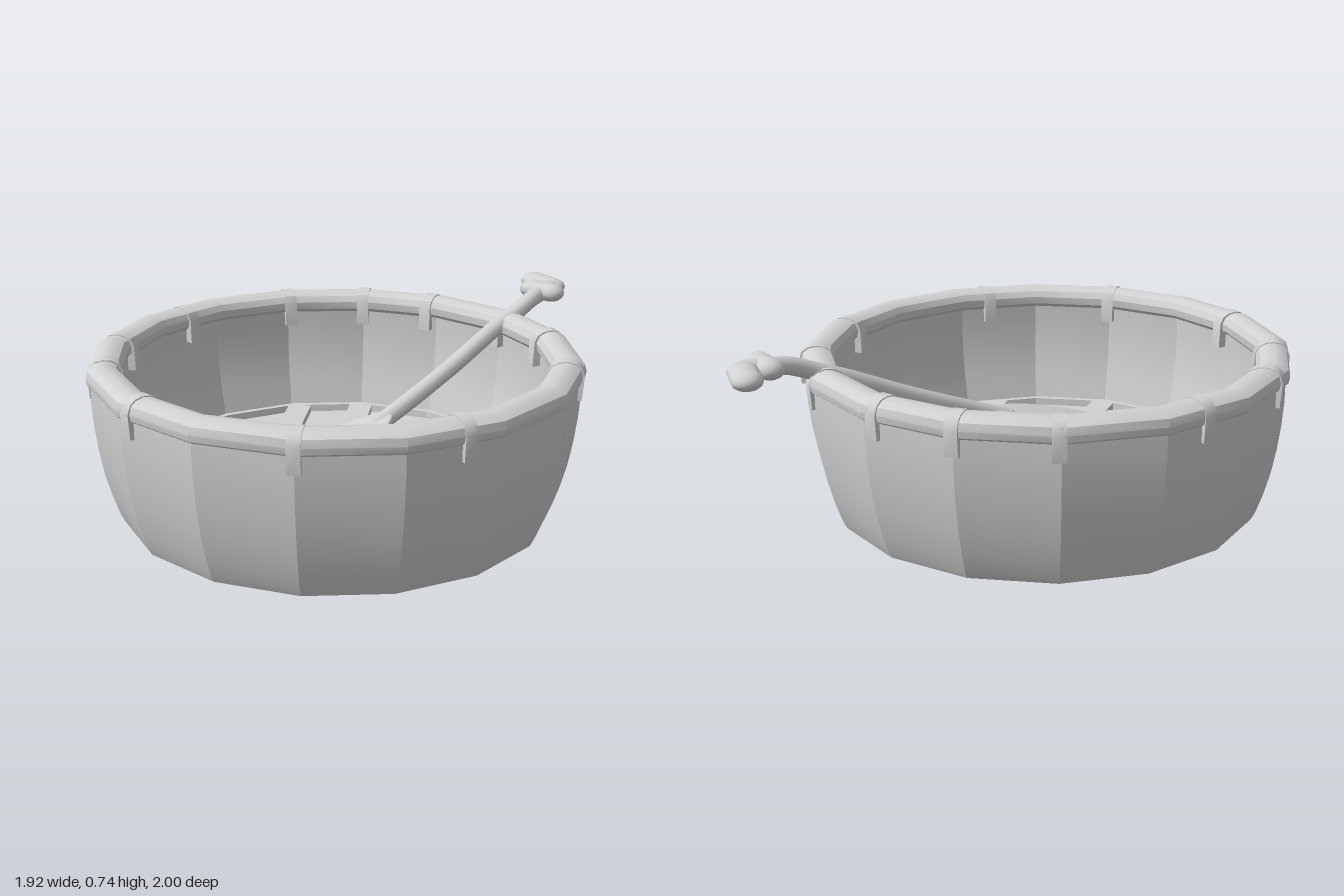
import * as THREE from 'three';
import { toCreasedNormals } from 'three/addons/utils/BufferGeometryUtils.js';

const SIDES = 16, RADIUS = 0.955, FLOOR = 0.115;

export function createModel() {
  const model = new THREE.Group();
  model.name = 'roundBoat';
  const grey = new THREE.MeshStandardMaterial({ color: 0xd2d2d2 });
  grey.name = 'plain grey';

  const add = (name, geometry, parent, crease = 0.35) => {
    const mesh = new THREE.Mesh(crease ? toCreasedNormals(geometry, crease) : geometry, grey);
    mesh.name = name;
    parent.add(mesh);
    return mesh;
  };
  const lathe = (points) =>
    new THREE.LatheGeometry(points.map(([r, y]) => new THREE.Vector2(r, y)), SIDES);
  const outline = (points) => new THREE.Shape(points.map(([x, y]) => new THREE.Vector2(x, y)));

  const boat = new THREE.Group();
  boat.name = 'boat';
  boat.position.z = 0.035;
  model.add(boat);

  // Bowl-shaped hull: underside, outer wall, inner wall and floor
  add('hull', lathe([
    [0, 0], [0.82, 0], [0.842, 0.01], [0.857, 0.04], [0.884, 0.12], [0.908, 0.21],
    [0.926, 0.31], [0.938, 0.41], [0.944, 0.5], [0.944, 0.6],
    [0.86, 0.6], [0.865, 0.5], [0.86, 0.38], [0.845, 0.27], [0.825, 0.19],
    [0.815, FLOOR + 0.03], [0.79, FLOOR + 0.03], [0.788, FLOOR], [0, FLOOR],
  ]), boat);

  // Thick rounded rim
  add('rim', lathe([
    [0.85, 0.565], [0.942, 0.565], [0.955, 0.575], [0.96, 0.6], [0.952, 0.628], [0.93, 0.645],
    [0.9, 0.652], [0.87, 0.648], [0.845, 0.635], [0.832, 0.61], [0.835, 0.58], [0.85, 0.565],
  ]), boat, 0.55);

  // Straps hooked over the rim, with ends showing below it
  const strapShape = outline([
    [-0.132, 0.51], [-0.1, 0.51], [-0.1, 0.57], [-0.03, 0.57], [-0.03, 0.505], [0.002, 0.505],
    [0.008, 0.6], [-0.004, 0.632], [-0.026, 0.65], [-0.055, 0.656], [-0.088, 0.652],
    [-0.114, 0.638], [-0.128, 0.61],
  ]);
  const strapGeometry = new THREE.ExtrudeGeometry(strapShape, { depth: 0.05, bevelEnabled: false });
  strapGeometry.translate(0, 0, -0.025);
  const step = (2 * Math.PI) / SIDES;
  for (const degrees of [0, 37, 87, 114, 134, 160, 180, 202, 236, 266, 288, 318]) {
    const angle = THREE.MathUtils.degToRad(degrees);
    const radius = RADIUS * Math.cos(step / 2) / Math.cos((angle % step) - step / 2);
    const strap = add('rimStrap', strapGeometry, boat, 0.6);
    strap.position.set(radius * Math.sin(angle), 0, radius * Math.cos(angle));
    strap.rotation.y = angle - Math.PI / 2;
  }

  // Floor ribs: x centre, width, z start, z end
  const ribs = [
    [0, 0.1, -0.77, 0.83], [0.46, 0.1, -0.61, 0.68],
    [-0.27, 0.1, -0.7, -0.05], [-0.36, 0.08, 0.12, 0.74],
  ];
  for (const [x, width, z0, z1] of ribs) {
    const geometry = new THREE.BoxGeometry(width, 0.04, z1 - z0);
    geometry.translate(x, FLOOR + 0.01, (z0 + z1) / 2);
    add('floorRib', geometry, model);
  }
  const crossRib = new THREE.BoxGeometry(1.6, 0.04, 0.08);
  crossRib.translate(0, FLOOR + 0.012, -0.05);
  add('crossRib', crossRib, model);

  // Tapered end of the short rib
  const ribEnd = new THREE.CylinderGeometry(0.04, 0.04, 0.04, 12);
  ribEnd.scale(1, 1, 1.6);
  ribEnd.translate(-0.36, FLOOR + 0.01, 0.122);
  add('ribEnd', ribEnd, model);

  const paddle = new THREE.Group();
  paddle.name = 'paddle';
  model.add(paddle);

  // Blade: outline in plan, then tilted by a rule towards the floor
  const bladeShape = new THREE.Shape();
  bladeShape.moveTo(-0.31, 0.395);
  bladeShape.lineTo(-0.29, 0.27);
  bladeShape.bezierCurveTo(-0.24, 0.15, -0.08, 0.03, 0.19, -0.055);
  bladeShape.lineTo(0.21, -0.01);
  bladeShape.bezierCurveTo(0.21, 0.14, 0.08, 0.35, -0.14, 0.425);
  bladeShape.lineTo(-0.2, 0.405);
  const blade = new THREE.ExtrudeGeometry(bladeShape, {
    depth: 0.012, bevelSize: 0.012, bevelThickness: 0.012, bevelSegments: 3, curveSegments: 14,
  });
  blade.rotateX(Math.PI / 2);
  const p = blade.attributes.position;
  for (let i = 0; i < p.count; i++) {
    const along = (p.getX(i) - 0.2) * 0.75 - (p.getZ(i) + 0.04) * 0.65;
    p.setY(i, p.getY(i) + 0.36 + 0.27 * along);
  }
  add('paddleBlade', blade, paddle, 0.7);

  // Shaft rising from the blade and over the rim
  const path = new THREE.CatmullRomCurve3([
    [0.15, 0.325, 0.005], [0.21, 0.355, -0.055], [0.43, 0.485, -0.31], [0.6, 0.6, -0.515],
    [0.68, 0.645, -0.605], [0.735, 0.68, -0.68], [0.78, 0.695, -0.75],
  ].map((v) => new THREE.Vector3(...v)));
  add('paddleShaft', new THREE.TubeGeometry(path, 32, 0.035, 10), paddle, 0);

  // Rounded start of the shaft on the blade
  const shaftRoot = new THREE.SphereGeometry(0.035, 12, 8);
  shaftRoot.translate(0.15, 0.325, 0.005);
  add('shaftRoot', shaftRoot, paddle, 0);

  // Handle: flattened capsules lying between two plan points
  const bar = (name, x0, z0, x1, z1, radius, y, flat) => {
    const geometry = new THREE.CapsuleGeometry(radius, Math.hypot(x1 - x0, z1 - z0), 5, 12);
    geometry.rotateX(Math.PI / 2);
    geometry.rotateY(Math.atan2(x1 - x0, z1 - z0));
    geometry.scale(1, flat, 1);
    geometry.translate((x0 + x1) / 2, y, (z0 + z1) / 2);
    add(name, geometry, paddle, 0);
  };
  bar('handleCollar', 0.742, -0.795, 0.825, -0.738, 0.053, 0.7, 0.74);
  bar('handleGrip', 0.748, -0.942, 0.825, -0.845, 0.058, 0.7, 0.62);
  bar('handleNeck', 0.785, -0.765, 0.82, -0.83, 0.045, 0.7, 0.75);

  return model;
}
